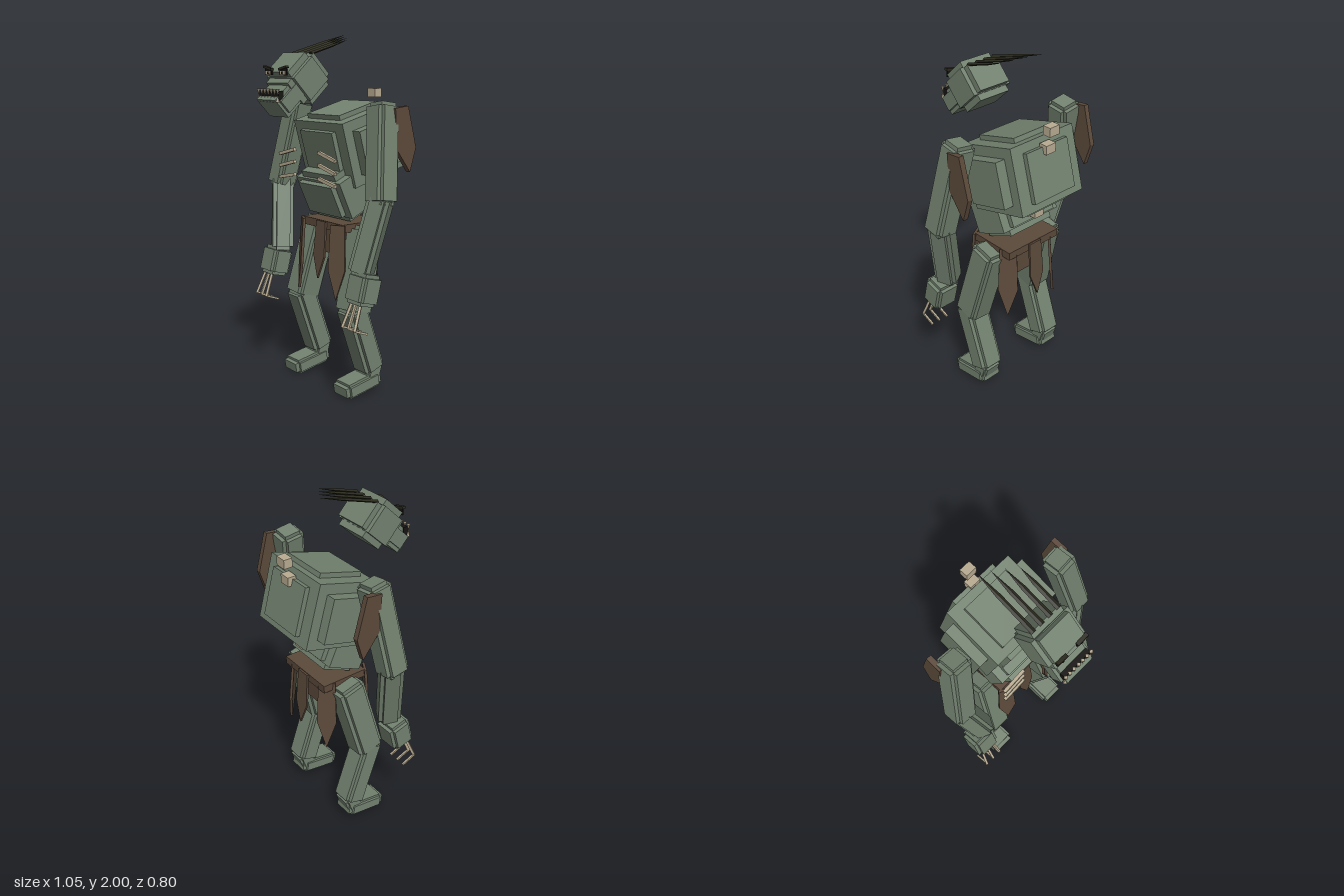
import * as THREE from 'three';

const mat = (name, color, side = THREE.FrontSide) => {
  const m = new THREE.MeshStandardMaterial({ color, side });
  m.name = name;
  return m;
};

export function createModel() {
  const root = new THREE.Group();
  root.name = 'creature';
  const skin = mat('grey green skin', 0x738270);
  const leather = mat('brown leather', 0x5c4a3b);
  const bone = mat('bone', 0xb9ac92);
  const dark = mat('dark spine', 0x2b2a1e);
  const black = mat('black', 0x161512);
  const V = (x, y, z) => new THREE.Vector3(x, y, z);

  function add(parent, name, geo, material, x = 0, y = 0, z = 0) {
    const m = new THREE.Mesh(geo, material);
    m.name = name;
    m.position.set(x, y, z);
    parent.add(m);
    return m;
  }
  const box = (parent, name, material, s, p) =>
    add(parent, name, new THREE.BoxGeometry(...s), material, ...p);

  // Stepped body: several boxes sharing one centre
  function stepped(parent, name, sizes, p, tilt = 0) {
    const g = new THREE.Group();
    g.name = name;
    g.position.set(...p);
    g.rotation.x = tilt;
    sizes.forEach((s) => box(g, name + 'Block', skin, s, [0, 0, 0]));
    parent.add(g);
    return g;
  }
  const tiers = (w, h, d, s) => [
    [w, h - s, d - s], [w - s, h - s, d], [w - s, h, d - s],
  ];

  // Places an object's y axis along the line from a to b
  function align(o, a, b, roll = 0) {
    o.position.copy(a).add(b).multiplyScalar(0.5);
    const dir = b.clone().sub(a).normalize();
    o.quaternion.setFromUnitVectors(V(0, 1, 0), dir);
    o.rotateY(roll);
    return o;
  }
  function limb(parent, name, a, b, w, d, roll = 0) {
    const g = stepped(parent, name, tiers(w, a.distanceTo(b), d, 0.045), [0, 0, 0]);
    return align(g, b, a, roll);
  }
  function rod(parent, name, a, b, r) {
    const geo = new THREE.CylinderGeometry(r, r, a.distanceTo(b), 4).toNonIndexed();
    geo.computeVertexNormals();
    return align(add(parent, name, geo, bone), a, b, Math.PI / 4);
  }
  // Flat pointed piece in the xy plane, extruded along z
  function blade(parent, name, pts, thick, p, yaw = 0, pitch = 0) {
    const shape = new THREE.Shape(pts.map(([x, y]) => new THREE.Vector2(x, y)));
    const geo = new THREE.ExtrudeGeometry(shape, { depth: thick, bevelEnabled: false });
    geo.translate(0, 0, -thick / 2);
    const m = add(parent, name, geo, leather, ...p);
    m.rotation.set(pitch, yaw, 0, 'YXZ');
    return m;
  }
  const strip = (w, l) => [
    [-w * 0.42, 0], [-w / 2, -l * 0.6], [0, -l], [w / 2, -l * 0.6], [w * 0.42, 0],
  ];

  // Torso
  stepped(root, 'chest', [
    [0.56, 0.25, 0.25], [0.44, 0.365, 0.365], [0.29, 0.27, 0.42], [0.29, 0.42, 0.27],
  ], [0, 1.395, -0.165], 0.27);
  stepped(root, 'belly', [
    [0.4, 0.22, 0.22], [0.3, 0.29, 0.19], [0.3, 0.19, 0.28],
  ], [0, 1.145, -0.085], 0.43);

  // Spine knobs and rib bones
  [[1.675, -0.355], [1.57, -0.335], [1.165, -0.265]].forEach(([y, z]) =>
    box(root, 'spineKnob', bone, [0.066, 0.05, 0.05], [0, y, z]));
  for (const s of [-1, 1]) {
    [[1.35, 0.24], [1.282, 0.24], [1.213, 0.19]].forEach(([y, tilt]) => {
      box(root, 'ribBone', bone, [0.15, 0.018, 0.018], [s * 0.183, y, 0.133]).rotation.z = -s * tilt;
    });
  }

  // Head: cranium, snout, face and swept-back spines
  const head = new THREE.Group();
  head.name = 'head';
  root.add(head);
  stepped(head, 'cranium', [
    [0.25, 0.16, 0.16], [0.2, 0.23, 0.15], [0.2, 0.15, 0.23],
  ], [0, 1.76, 0.19], 0.75);
  stepped(head, 'snout', [
    [0.21, 0.08, 0.17], [0.175, 0.124, 0.2],
  ], [0, 1.673, 0.28], 0.75);
  box(head, 'mouth', black, [0.18, 0.05, 0.03], [0, 1.672, 0.36]);
  for (let i = 0; i < 7; i++) {
    const x = (i - 3) * 0.03;
    for (const s of [-1, 1]) {
      const tooth = new THREE.ConeGeometry(0.012, 0.034, 4);
      const m = add(head, s > 0 ? 'upperTooth' : 'lowerTooth', tooth, bone, x, 1.674 + s * 0.017, 0.38);
      if (s > 0) m.rotation.x = Math.PI;
    }
  }
  for (const s of [-1, 1]) {
    box(head, 'eyeSocket', black, [0.062, 0.036, 0.008], [s * 0.068, 1.795, 0.327]);
    box(head, 'eye', bone, [0.044, 0.018, 0.006], [s * 0.068, 1.79, 0.332]);
    box(head, 'pupil', black, [0.01, 0.014, 0.004], [s * 0.064, 1.79, 0.336]);
    box(head, 'brow', dark, [0.07, 0.012, 0.02], [s * 0.07, 1.814, 0.33]).rotation.z = s * 0.2;
  }
  [-0.204, -0.16, -0.124, -0.083].forEach((tip, i) => {
    const a = V(-0.083 + i * 0.056, 1.89, 0.165);
    const b = V(a.x, 1.89 + (0.165 - tip) * 0.298, tip);
    const len = a.distanceTo(b);
    const profile = [[0, -0.5], [0.015, -0.5], [0.013, 0.1], [0, 0.5]];
    const geo = new THREE.LatheGeometry(
      profile.map(([r, y]) => new THREE.Vector2(r, y * len)), 4).toNonIndexed();
    geo.scale(1, 1, 0.6);
    geo.computeVertexNormals();
    align(add(head, 'headSpine', geo, dark), a, b);
  });

  for (const s of [-1, 1]) {
    // Arm, hand and claws
    const arm = new THREE.Group();
    arm.name = s > 0 ? 'leftArm' : 'rightArm';
    root.add(arm);
    limb(arm, 'upperArm', V(s * 0.372, 1.635, -0.09), V(s * 0.457, 1.11, -0.01), 0.14, 0.14);
    limb(arm, 'forearm', V(s * 0.455, 1.17, -0.02), V(s * 0.365, 0.73, 0.05), 0.125, 0.125, s * 0.5);
    stepped(arm, 'hand', tiers(0.148, 0.17, 0.135, 0.04), [s * 0.41, 0.665, 0.065], -0.25);
    [[0.45, 0.468], [0.413, 0.417], [0.378, 0.362]].forEach(([x0, x1]) => {
      rod(arm, 'finger', V(s * x0, 0.6, 0.115), V(s * x1, 0.465, 0.17), 0.01);
      rod(arm, 'claw', V(s * x1, 0.468, 0.172), V(s * x1, 0.435, 0.085), 0.008);
    });

    // Leather plate behind the shoulder
    blade(arm, 'shoulderPlate', [
      [0.1, 1.61], [0.19, 1.62], [0.25, 1.4], [0.21, 1.27], [0.11, 1.4],
    ], 0.03, [s * 0.445, 0, 0], Math.PI / 2);

    // Leg and foot
    const leg = new THREE.Group();
    leg.name = s > 0 ? 'leftLeg' : 'rightLeg';
    root.add(leg);
    limb(leg, 'thigh', V(s * 0.2, 0.945, -0.125), V(s * 0.24, 0.47, -0.005), 0.155, 0.165);
    limb(leg, 'shin', V(s * 0.24, 0.525, 0.01), V(s * 0.24, 0.125, -0.13), 0.148, 0.135);
    stepped(leg, 'ankle', tiers(0.125, 0.1, 0.1, 0.03), [s * 0.24, 0.125, -0.125], -0.3);
    stepped(leg, 'foot', [
      [0.145, 0.055, 0.2], [0.115, 0.085, 0.2], [0.115, 0.055, 0.25],
    ], [s * 0.24, 0.062, -0.04], 0.17);

    // Corner strips of the loincloth
    blade(root, 'frontCornerStrip', strip(0.1, 0.42), 0.015, [s * 0.16, 0.965, 0.04], s * 0.5, -0.06);
    blade(root, 'backCornerStrip', strip(0.11, 0.43), 0.015, [s * 0.155, 0.965, -0.215], Math.PI - s * 0.8, -0.08);
  }

  // Waist band and loincloth
  box(root, 'waistBand', leather, [0.37, 0.045, 0.28], [0, 0.945, -0.115]);
  box(root, 'loincloth', leather, [0.21, 0.18, 0.18], [0, 0.86, -0.12]);
  blade(root, 'frontStrip', strip(0.1, 0.33), 0.012, [0, 0.965, 0.03], 0, -0.08);
  blade(root, 'backStrip', strip(0.1, 0.335), 0.012, [0, 0.965, -0.262], Math.PI, -0.08);

  return root;
}
